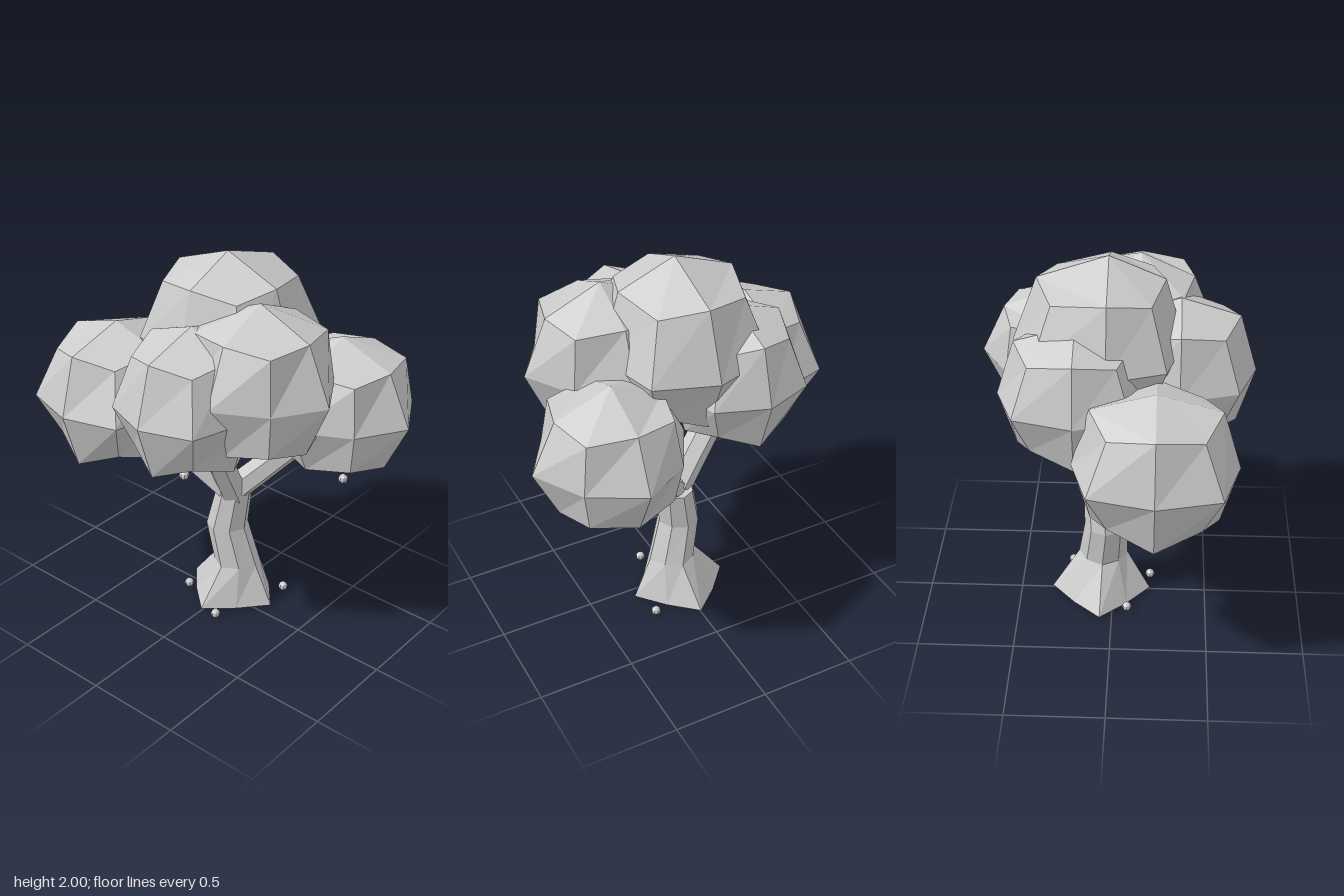
import * as THREE from 'three';

const grey = new THREE.MeshStandardMaterial({ color: 0xcccccc, flatShading: true, side: THREE.DoubleSide });
grey.name = 'pale grey';

function add(parent, name, geometry) {
  const mesh = new THREE.Mesh(geometry, grey);
  mesh.name = name;
  parent.add(mesh);
  return mesh;
}

// Leaf clump: a cube cut 2 x 2 on each side and rounded to a faceted ball,
// with its own reach along -x, +x, -y, +y, -z, +z. The waist edges and the
// upper and lower edges come out by their own shares of that reach.
function clumpGeometry(reach, waist, edge) {
  const geo = new THREE.BoxGeometry(2, 2, 2, 2, 2, 2).toNonIndexed();
  const p = geo.attributes.position;
  for (let i = 0; i < p.count; i++) {
    const v = [p.getX(i), p.getY(i), p.getZ(i)].map(Math.round);
    const kind = v.filter((c) => c !== 0).length;
    let side = 1, rise = 1;
    if (kind === 2) side = rise = v[1] === 0 ? waist : edge;
    if (kind === 3) {
      side = 0.56;
      rise = v[1] > 0 ? 0.66 : 0.58;
    }
    p.setXYZ(i, ...v.map((c, k) => c * (k === 1 ? rise : side) * reach[2 * k + (c > 0 ? 1 : 0)]));
  }
  geo.computeVertexNormals();
  return geo;
}

// Trunk: eight-sided rings, open below, [y, centre x, centre z, radius, radius between the roots]
function trunkGeometry() {
  const rings = [
    [0.01, 0, -0.065, 0.265, 0.2],
    [0.23, 0.035, -0.055, 0.13, 0.12],
    [0.45, -0.015, -0.035, 0.115, 0.11],
    [0.66, 0.015, -0.055, 0.1, 0.095],
  ];
  const n = 8, pos = [], idx = [];
  for (const [y, cx, cz, r, rb] of rings) {
    for (let j = 0; j < n; j++) {
      const a = (j / n) * Math.PI * 2, rad = j % 2 ? rb : r;
      pos.push(cx + Math.cos(a) * rad, y, cz + Math.sin(a) * rad);
    }
  }
  const top = (rings.length - 1) * n;
  for (let j = 0; j < n; j++) {
    const k = (j + 1) % n;
    for (let b = 0; b < top; b += n) {
      idx.push(b + k, b + j, b + n + j, b + k, b + n + j, b + n + k);
    }
    if (j > 0 && j < n - 1) idx.push(top, top + k, top + j);
  }
  const geo = new THREE.BufferGeometry();
  geo.setAttribute('position', new THREE.Float32BufferAttribute(pos, 3));
  geo.setIndex(idx);
  const flat = geo.toNonIndexed();
  flat.computeVertexNormals();
  return flat;
}

// Branch: tapered six-sided limb between two points
function addBranch(parent, name, from, to, r0, r1) {
  const a = new THREE.Vector3(...from), b = new THREE.Vector3(...to);
  const dir = b.clone().sub(a);
  const mesh = add(parent, name, new THREE.CylinderGeometry(r1, r0, dir.length(), 6));
  mesh.position.copy(a).add(b).multiplyScalar(0.5);
  mesh.quaternion.setFromUnitVectors(new THREE.Vector3(0, 1, 0), dir.normalize());
}

export function createModel() {
  const tree = new THREE.Group();
  tree.name = 'tree';

  add(tree, 'trunk', trunkGeometry());

  addBranch(tree, 'rightBranch', [0.0, 0.66, -0.04], [-0.45, 1.08, 0.18], 0.08, 0.075);
  addBranch(tree, 'leftBranch', [0.02, 0.66, -0.05], [0.42, 1.11, -0.27], 0.075, 0.065);
  addBranch(tree, 'frontBranch', [0.03, 0.64, -0.04], [0.05, 1.2, 0.24], 0.075, 0.07);

  // Crown: centre, reach, waist edge share, upper and lower edge share
  const clumps = [
    ['topClump', [0, 1.55, -0.02], [0.42, 0.4, 0.42, 0.45, 0.47, 0.37], 0.77, 0.74],
    ['rightClump', [-0.53, 1.17, 0.22], [0.36, 0.36, 0.39, 0.39, 0.4, 0.4], 0.79, 0.78],
    ['leftFrontClump', [0.32, 1.46, 0.13], [0.4, 0.41, 0.41, 0.41, 0.39, 0.38], 0.63, 0.7],
    ['frontClump', [0.07, 1.36, 0.33], [0.33, 0.34, 0.38, 0.39, 0.38, 0.38], 0.76, 0.77],
    ['leftBackClump', [0.48, 1.22, -0.31], [0.38, 0.41, 0.37, 0.37, 0.4, 0.38], 0.64, 0.7],
    ['rightBackClump', [-0.24, 1.38, -0.17], [0.33, 0.34, 0.36, 0.37, 0.38, 0.36], 0.76, 0.77],
  ];
  for (const [name, centre, reach, waist, edge] of clumps) {
    add(tree, name, clumpGeometry(reach, waist, edge)).position.set(...centre);
  }

  // Small fruits, hanging and fallen
  const fruits = [
    [-0.43, 0.83, 0.13], [0.58, 0.86, -0.23], [0.12, 1.02, 0.45],
    [-0.19, 0.03, 0.08], [0.1, 0.03, 0.2], [0.22, 0.025, -0.23],
  ];
  for (const spot of fruits) {
    add(tree, 'fruit', new THREE.SphereGeometry(0.025, 8, 6)).position.set(...spot);
  }
  return tree;
}
